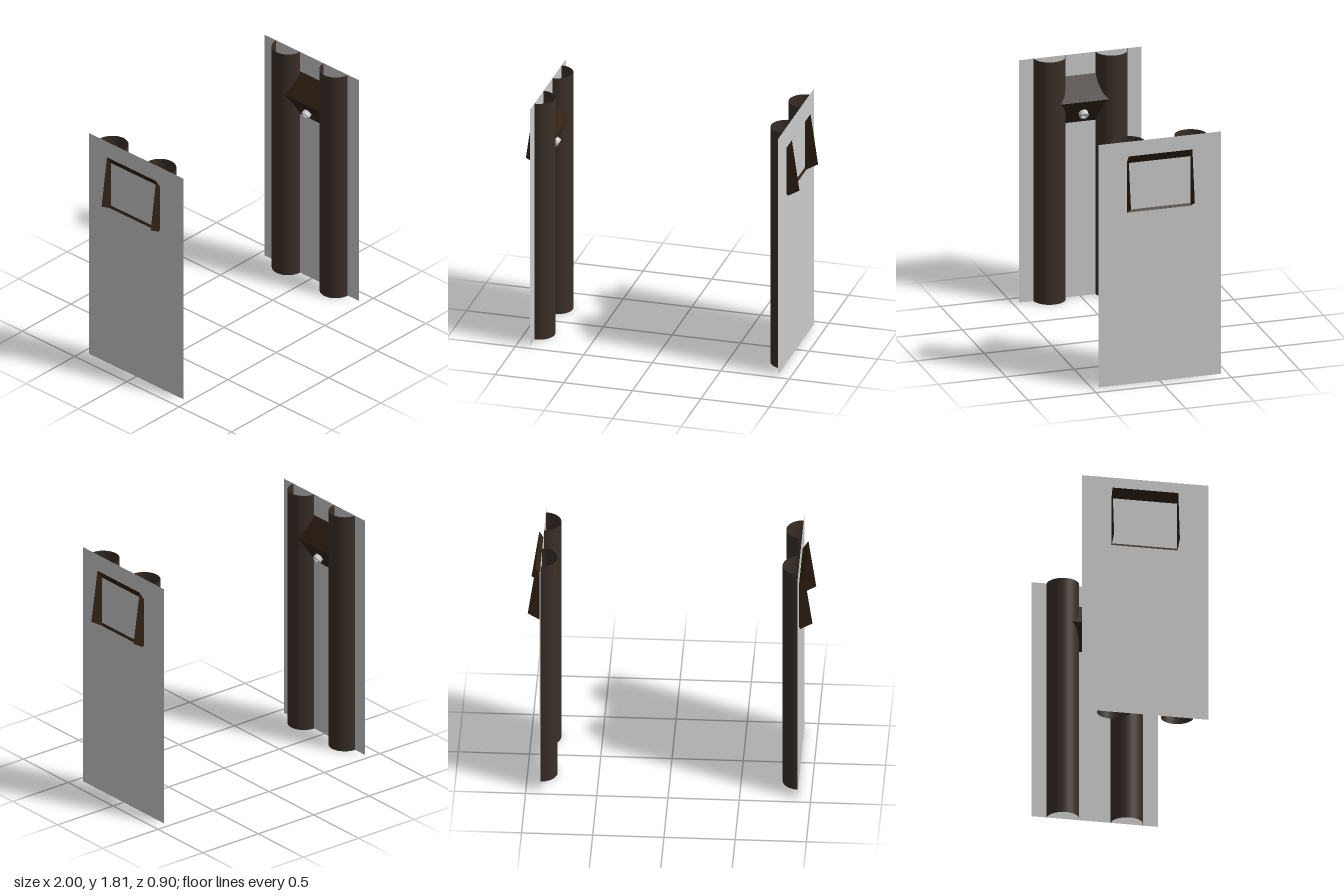
import * as THREE from 'three';

const panelX = 0.905, height = 1.81, width = 0.905;

const mat = (color) => new THREE.MeshStandardMaterial({ color, side: THREE.DoubleSide });
const grey = mat(0xcccccc);
const tubeDark = mat(0x3a2f28);
const boxDark = mat(0x302114);

function add(parent, name, geometry, material) {
  const mesh = new THREE.Mesh(geometry, material);
  mesh.name = name;
  parent.add(mesh);
  return mesh;
}

// Flat strip between two points of the side profile, spanning z0..z1
function strip(a, b, z0, z1) {
  const g = new THREE.BufferGeometry();
  g.setAttribute('position', new THREE.Float32BufferAttribute(
    [...a, z0, ...b, z0, ...b, z1, ...a, z1], 3));
  g.setIndex([0, 1, 2, 0, 2, 3]);
  g.computeVertexNormals();
  return g;
}

function createLeaf() {
  const leaf = new THREE.Group();

  // Thin upright panel
  const panel = add(leaf, 'panel', new THREE.PlaneGeometry(width, height), grey);
  panel.rotation.y = Math.PI / 2;
  panel.position.set(panelX, height / 2, 0);

  // Two open half-round tubes on the inner side
  for (const z of [0.228, -0.228]) {
    const tube = add(leaf, 'halfTube',
      new THREE.CylinderGeometry(0.115, 0.115, height, 24, 1, true, Math.PI, Math.PI), tubeDark);
    tube.position.set(panelX, height / 2, z);
  }

  // Tilted box through the panel, open towards the outside and below
  const box = new THREE.Group();
  box.name = 'tiltedBox';
  leaf.add(box);
  const top = [0.945, 1.715], outer = [1.0, 1.335], bottom = [0.915, 1.285], inner = [0.8, 1.483];
  const z0 = -0.228, z1 = 0.242;
  add(box, 'boxTop', strip(top, inner, z0, z1), boxDark);
  add(box, 'boxBack', strip(inner, bottom, z0, z1), boxDark);
  const outline = new THREE.Shape([top, outer, bottom, inner].map((p) => new THREE.Vector2(...p)));
  for (const z of [z0, z1]) {
    add(box, 'boxSide', new THREE.ShapeGeometry(outline), boxDark).position.z = z;
  }

  // Small round socket standing on the back of the box
  const profile = [[0.033, 0], [0.033, 0.032], [0.029, 0.036], [0.019, 0.036], [0.019, 0.012],
    [0.009, 0.012], [0.009, 0.03], [0, 0.03]].map((p) => new THREE.Vector2(...p));
  const flat = new THREE.LatheGeometry(profile, 20).toNonIndexed();
  flat.computeVertexNormals();
  const socket = add(box, 'socket', flat, grey);
  const normal = new THREE.Vector3(bottom[1] - inner[1], inner[0] - bottom[0], 0).normalize();
  socket.quaternion.setFromUnitVectors(new THREE.Vector3(0, 1, 0), normal);
  socket.position.set((inner[0] + bottom[0]) / 2, (inner[1] + bottom[1]) / 2, 0.005);
  return leaf;
}

export function createModel() {
  const model = new THREE.Group();
  const left = createLeaf();
  left.name = 'leftLeaf';
  // The right leaf is the left one turned half round
  const right = createLeaf();
  right.name = 'rightLeaf';
  right.rotation.y = Math.PI;
  model.add(left, right);
  return model;
}
